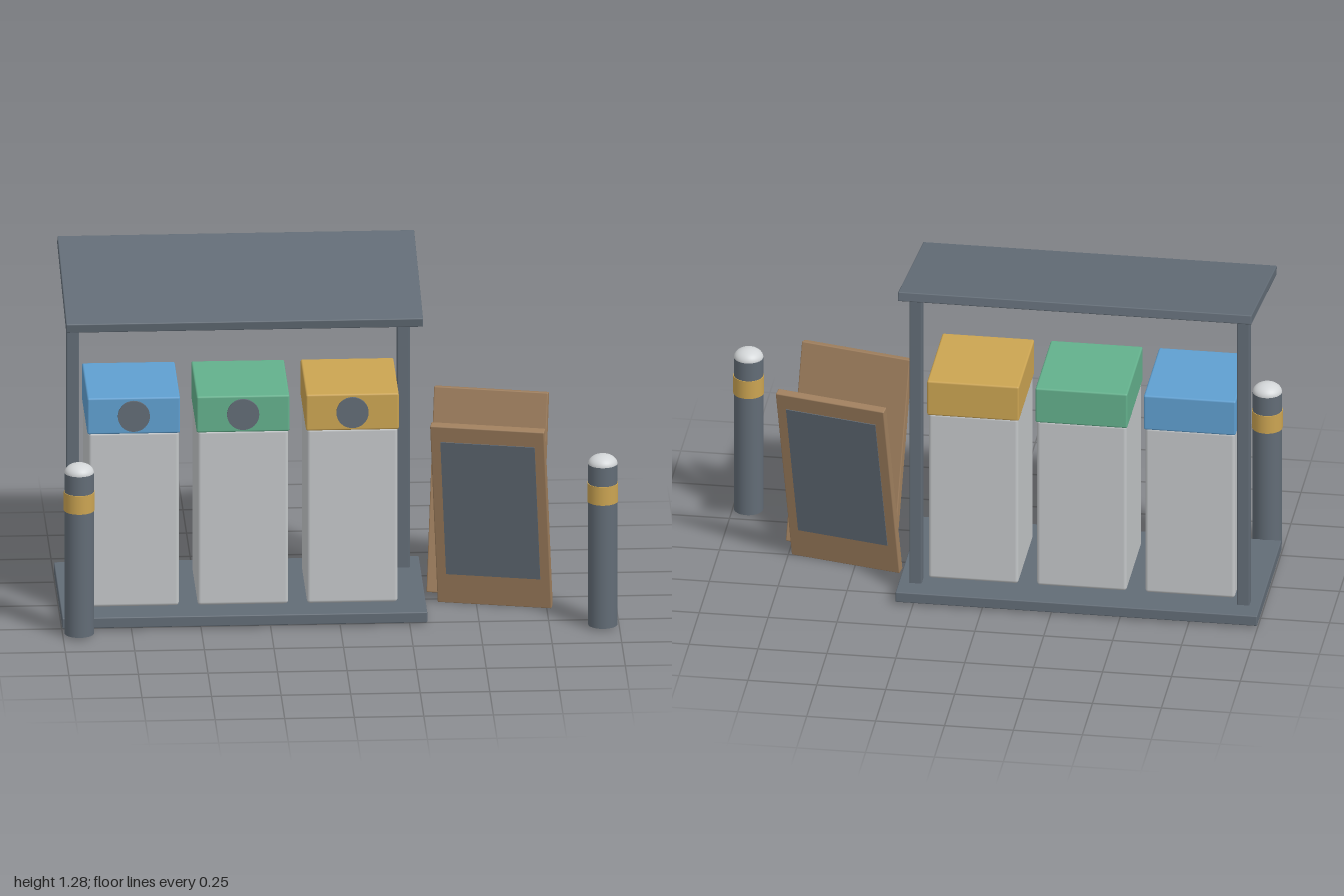
import * as THREE from 'three';
import { RoundedBoxGeometry } from 'three/addons/geometries/RoundedBoxGeometry.js';

const material = (name, color) => {
  const m = new THREE.MeshStandardMaterial({ color });
  m.name = name;
  return m;
};

export function createModel() {
  const slate = material('slate', 0x626c76);
  const grey = material('light grey', 0xc3c6c8);
  const blue = material('blue', 0x5f9fd0);
  const green = material('green', 0x63b08c);
  const gold = material('gold', 0xcba452);
  const brown = material('brown', 0x9f7f5e);
  const white = material('pale cap', 0xd3d6d8);

  const model = new THREE.Group();
  model.name = 'recyclingStation';

  const add = (parent, name, geometry, mat, x, y, z) => {
    const mesh = new THREE.Mesh(geometry, mat);
    mesh.name = name;
    mesh.position.set(x, y, z);
    parent.add(mesh);
    return mesh;
  };
  const box = (w, h, d, r = 0.004) => new RoundedBoxGeometry(w, h, d, 2, r);
  const group = (name, x, y, z) => {
    const g = new THREE.Group();
    g.name = name;
    g.position.set(x, y, z);
    model.add(g);
    return g;
  };

  // Shelter: base slab, two rear posts and a roof sloping to the front
  add(model, 'base', box(1.312, 0.04, 0.605), slate, -0.343, 0.03, -0.028);
  for (const x of [-0.937, 0.252]) {
    add(model, 'post', box(0.045, 1.145, 0.045), slate, x, 0.618, -0.228);
  }
  const roof = add(model, 'roof', box(1.283, 0.035, 0.638), slate, -0.343, 1.205, -0.055);
  roof.rotation.x = 0.183;

  // Three bins with coloured lids and round openings
  [blue, green, gold].forEach((lidColor, i) => {
    const bin = group('bin', -0.737 + i * 0.393, 0, -0.021);
    add(bin, 'binBody', box(0.326, 0.665, 0.368, 0.012), grey, 0, 0.3825, 0);
    add(bin, 'binLid', box(0.334, 0.138, 0.384, 0.007), lidColor, 0, 0.78, 0);
    const opening = add(bin, 'binOpening', new THREE.CylinderGeometry(0.058, 0.058, 0.02, 32), slate, 0, 0.78, 0.19);
    opening.rotation.x = Math.PI / 2;
  });

  // Two outward-leaning boards, each with a dark panel on its outer face
  for (const side of [1, -1]) {
    const board = group(side > 0 ? 'frontBoard' : 'backBoard', 0.55, 0.368, side > 0 ? 0.1425 : -0.1075);
    board.rotation.order = 'YXZ';
    board.rotation.set(side * 0.22, -0.22, 0);
    add(board, 'boardFrame', box(0.415, 0.745, 0.032), brown, 0, 0, 0);
    add(board, 'boardPanel', new THREE.BoxGeometry(0.343, 0.558, 0.006), slate, 0, 0.03, side * 0.016);
  }

  // Bollards with a gold band and a flattened dome
  for (const x of [-0.941, 0.941]) {
    const bollard = group('bollard', x, 0, 0.321);
    add(bollard, 'bollardPost', new THREE.CylinderGeometry(0.053, 0.053, 0.612, 32), slate, 0, 0.316, 0);
    add(bollard, 'bollardBand', new THREE.CylinderGeometry(0.0555, 0.0555, 0.07, 32), gold, 0, 0.515, 0);
    const cap = add(bollard, 'bollardCap', new THREE.SphereGeometry(0.053, 32, 10, 0, Math.PI * 2, 0, Math.PI / 2), white, 0, 0.622, 0);
    cap.scale.y = 0.66;
  }

  return model;
}
